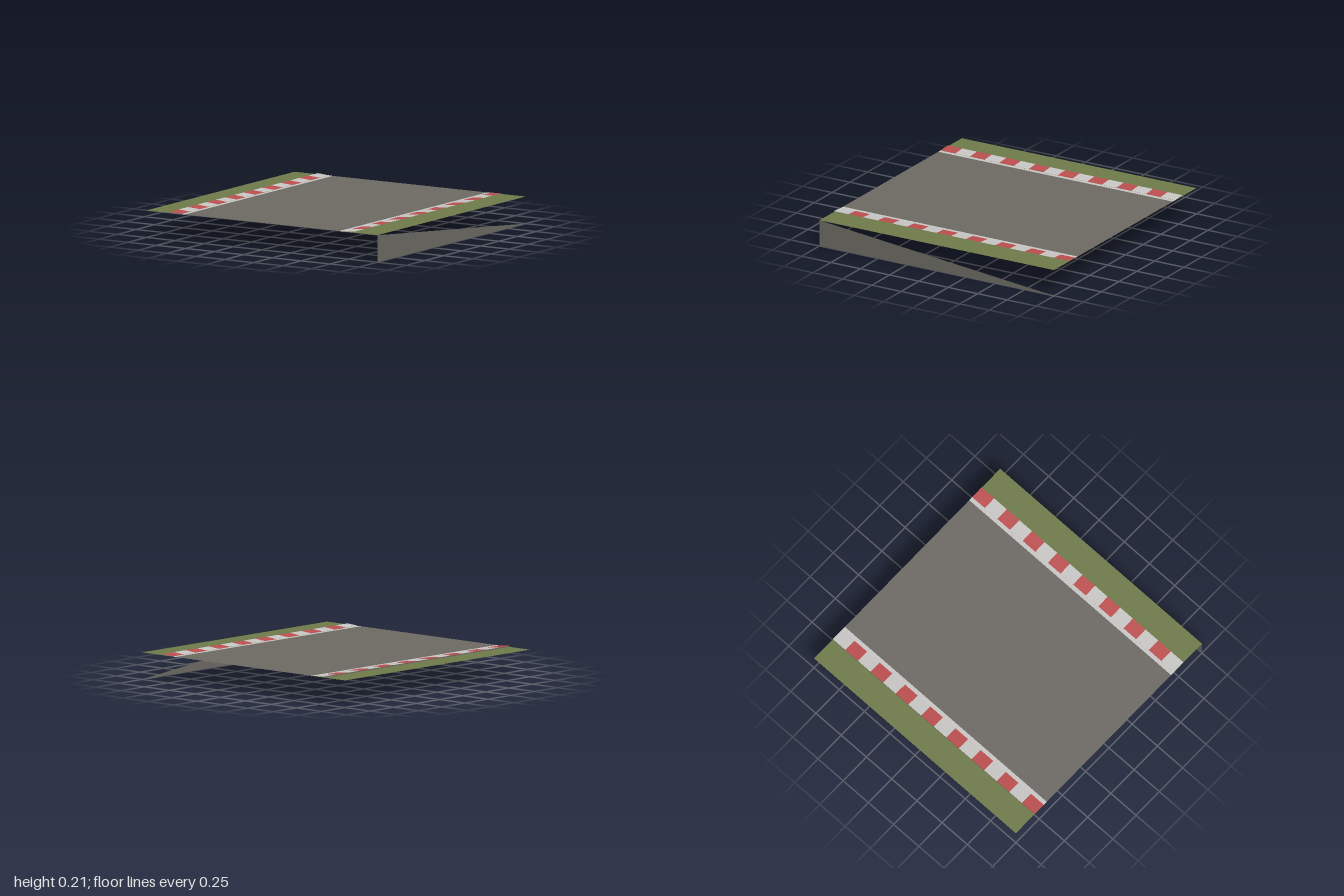
import * as THREE from 'three';

const TOP = 0.2;       // road surface height
const KERB_TOP = 0.208; // outer lip of the kerbs
const TILES = 16;

function material(name, color) {
  const m = new THREE.MeshStandardMaterial({ color, side: THREE.DoubleSide });
  m.name = name;
  return m;
}

// Sheet along z whose cross-section runs from (x0, y0) to (x1, y1), with x0 < x1 facing up
function strip(x0, y0, x1, y1, z0 = -1, z1 = 1) {
  const g = new THREE.BufferGeometry();
  g.setAttribute('position', new THREE.Float32BufferAttribute(
    [x0, y0, z0, x0, y0, z1, x1, y1, z1, x1, y1, z0], 3));
  g.setIndex([0, 1, 2, 0, 2, 3]);
  g.computeVertexNormals();
  return g;
}

export function createModel() {
  const model = new THREE.Group();
  model.name = 'roadSection';
  const asphalt = material('asphalt grey', 0x6e6b65);
  const grass = material('grass green', 0x6f7c4a);
  const white = material('kerb white', 0xcac8c6);
  const red = material('kerb red', 0xbe5050);

  const add = (name, geometry, mat, parent = model) => {
    const mesh = new THREE.Mesh(geometry, mat);
    mesh.name = name;
    parent.add(mesh);
  };

  add('road', strip(-0.668, TOP, 0.668, TOP), asphalt);

  for (const s of [-1, 1]) {
    const side = s > 0 ? 'left' : 'right';
    // Sheet mirrored to this side, keeping its top face upward
    const sheet = (xa, ya, xb, yb, z0, z1) => s > 0
      ? strip(xa, ya, xb, yb, z0, z1)
      : strip(-xb, yb, -xa, ya, z0, z1);

    add(side + 'Grass', sheet(0.7, TOP, 1, TOP), grass);
    add(side + 'EdgeLine', sheet(0.668, TOP, 0.7, TOP), white);

    // Kerb: alternating tiles sloping up to the outer lip
    const kerb = new THREE.Group();
    kerb.name = side + 'Kerb';
    model.add(kerb);
    for (let i = 0; i < TILES; i++) {
      const z = -1 + i * 2 / TILES;
      const isRed = (i % 2 === 0) === (s > 0);
      add(isRed ? 'redTile' : 'whiteTile',
        sheet(0.7, TOP + 0.001, 0.8, KERB_TOP, z, z + 2 / TILES), isRed ? red : white, kerb);
    }
    // Outer drop of the kerb
    if (s < 0) add('kerbWall', strip(-0.8, TOP, -0.8, KERB_TOP), asphalt, kerb);
  }

  // Wedge-shaped side wall under the road edge
  const wedge = new THREE.Shape([
    new THREE.Vector2(-1, 0), new THREE.Vector2(1, 0), new THREE.Vector2(-1, TOP)]);
  add('sideWall', new THREE.ShapeGeometry(wedge).rotateY(Math.PI / 2).translate(1, 0, 0), asphalt);

  return model;
}
